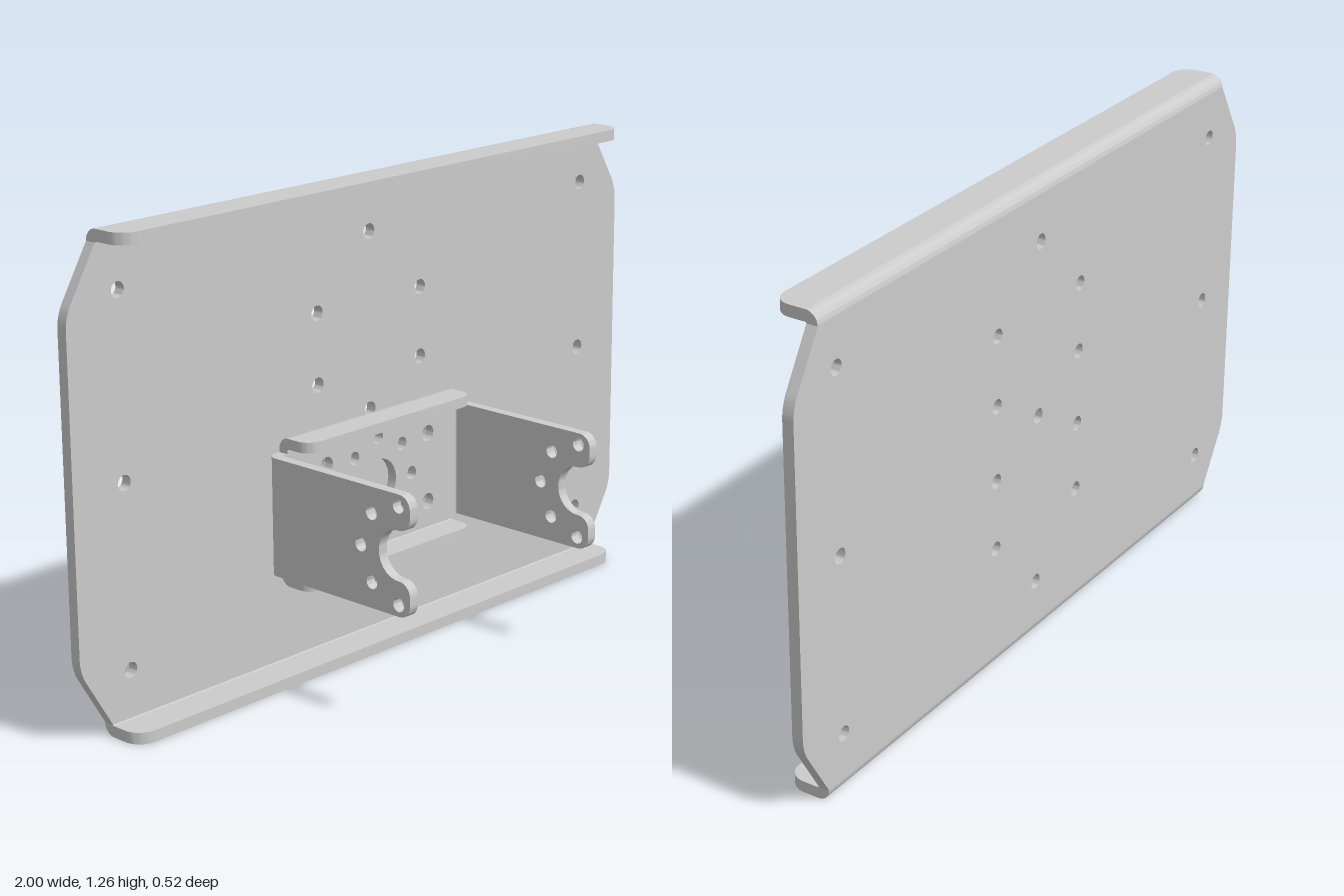
import * as THREE from 'three';
import { toCreasedNormals } from 'three/addons/utils/BufferGeometryUtils.js';

const metal = new THREE.MeshStandardMaterial({ color: 0xcccccc });

// Closed outline from [x, y, cornerRadius] points
function outline(points, holes = []) {
  const shape = new THREE.Shape();
  const n = points.length;
  points.forEach(([x, y, r = 0], i) => {
    const p = new THREE.Vector2(x, y);
    const toward = (q, d) => new THREE.Vector2(q[0], q[1]).sub(p).setLength(d).add(p);
    const prev = points[(i + n - 1) % n], next = points[(i + 1) % n];
    const a = toward(prev, r), b = toward(next, r);
    if (i === 0) shape.moveTo(a.x, a.y); else shape.lineTo(a.x, a.y);
    if (r > 0) {
      const c1 = toward(prev, r * 0.4477), c2 = toward(next, r * 0.4477);
      shape.bezierCurveTo(c1.x, c1.y, c2.x, c2.y, b.x, b.y);
    }
  });
  shape.closePath();
  for (const [x, y, r] of holes) {
    shape.holes.push(new THREE.Path().absarc(x, y, r, 0, Math.PI * 2, true));
  }
  return shape;
}

function extrude(shape, depth) {
  return new THREE.ExtrudeGeometry(shape, { depth, bevelEnabled: false, curveSegments: 12 });
}

function addMesh(parent, name, geometry) {
  const mesh = new THREE.Mesh(toCreasedNormals(geometry, 0.6), metal);
  mesh.name = name;
  parent.add(mesh);
  return mesh;
}

// Flange folded forward: x runs along the edge, y points outward, z forward from the back face
function bentFlange(name, width, t, R, shape) {
  const group = new THREE.Group();
  group.name = name;
  const arc = new THREE.Shape();
  arc.absarc(-R, -R, R, 0, Math.PI / 2, false);
  arc.absarc(-R, -R, R - t, Math.PI / 2, 0, true);
  arc.closePath();
  addMesh(group, name + 'Bend', extrude(arc, width).rotateY(Math.PI / 2).translate(-width / 2, 0, 0));
  addMesh(group, name + 'Sheet', extrude(shape, t).rotateX(Math.PI / 2));
  return group;
}

// Plain lip with rounded front corners
function lipShape(width, start, depth, r) {
  const w = width / 2;
  return outline([[-w, start], [w, start], [w, depth, r], [-w, depth, r]]);
}

function createBackPlate() {
  const group = new THREE.Group();
  group.name = 'backPlate';
  const t = 0.03, R = 0.033, H = 0.63, W = 0.905;
  const holes = [];
  for (const y of [-0.473, 0.003, 0.475]) {
    for (const x of [-0.842, 0, 0.842]) holes.push([x, y, 0.02]);
  }
  for (const y of [-0.288, -0.098, 0.107, 0.295]) {
    for (const x of [-0.19, 0.19]) holes.push([x, y, 0.02]);
  }
  const e = H - R;
  addMesh(group, 'plateSheet', extrude(outline([
    [-W, -e], [W, -e], [1, -0.437, 0.03], [1, 0.437, 0.03],
    [W, e], [-W, e], [-1, 0.437, 0.03], [-1, -0.437, 0.03],
  ], holes), t));
  for (const s of [1, -1]) {
    const lip = bentFlange(s > 0 ? 'topLip' : 'bottomLip', 2 * W, t, R, lipShape(2 * W, R, 0.125, 0.05));
    lip.position.y = s * H;
    if (s < 0) lip.rotation.z = Math.PI;
    group.add(lip);
  }
  group.position.set(0, 0.63, -0.26);
  return group;
}

function createBracket() {
  const group = new THREE.Group();
  group.name = 'bracket';
  const t = 0.028, R = 0.031, halfX = 0.3525, halfY = 0.1975;
  const sideH = 0.1565, lipW = 0.307, off = 0.0225;
  const bx = halfX - R, by = halfY - R;

  // Base with a central bore, a ring of small holes and four mounting holes
  const holes = [[off, 0, 0.067]];
  for (let i = 0; i < 8; i++) {
    const a = i * Math.PI / 4;
    holes.push([off + 0.126 * Math.cos(a), 0.126 * Math.sin(a), 0.018]);
  }
  for (const x of [-0.19, 0.19]) {
    for (const y of [-0.095, 0.095]) holes.push([off + x, y, 0.022]);
  }
  addMesh(group, 'bracketBase', extrude(outline([
    [-lipW, -by], [lipW, -by], [lipW, -sideH], [bx, -sideH], [bx, sideH], [lipW, sideH],
    [lipW, by], [-lipW, by], [-lipW, sideH], [-bx, sideH], [-bx, -sideH], [-lipW, -sideH],
  ], holes), t));

  // Short lips above and below
  for (const s of [1, -1]) {
    const lip = bentFlange(s > 0 ? 'bracketTopLip' : 'bracketBottomLip', 2 * lipW, t, R,
      lipShape(2 * lipW, R, 0.105, 0.04));
    lip.position.y = s * halfY;
    if (s < 0) lip.rotation.z = Math.PI;
    group.add(lip);
  }

  // Long side arms with a round notch and five holes around it
  const end = 0.49, notchZ = 0.452, n = 0.065;
  const armHoles = [];
  for (let i = 0; i < 5; i++) {
    const a = i * Math.PI / 4;
    armHoles.push([0.126 * Math.cos(a), notchZ - 0.126 * Math.sin(a), 0.018]);
  }
  const arm = outline([
    [-sideH, R], [sideH, R], [sideH, end, 0.035], [n, end, 0.035],
    [n, notchZ - n, 0.0645], [-n, notchZ - n, 0.0645],
    [-n, end, 0.035], [-sideH, end, 0.035],
  ], armHoles);
  for (const s of [1, -1]) {
    const side = bentFlange(s > 0 ? 'leftArm' : 'rightArm', 2 * sideH, t, R, arm);
    side.position.x = s * halfX;
    side.rotation.z = -s * Math.PI / 2;
    group.add(side);
  }
  group.position.set(-off, 0.435, -0.23);
  return group;
}

export function createModel() {
  const model = new THREE.Group();
  model.name = 'mountingPlate';
  model.add(createBackPlate(), createBracket());
  return model;
}
